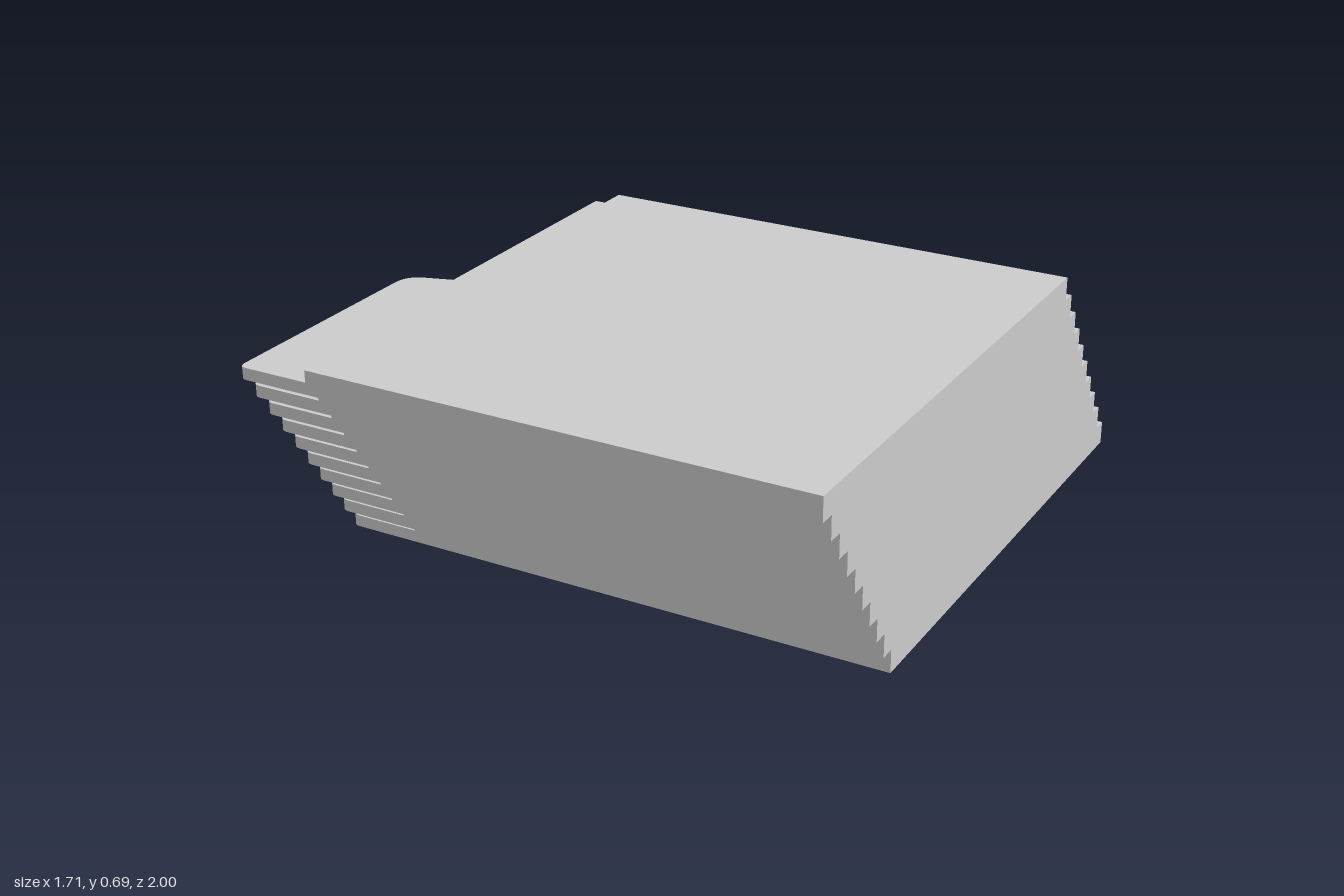
import * as THREE from 'three';

const COUNT = 10;          // stacked slabs
const SLAB_H = 0.0695;     // height of one slab
const LIP_H = 0.035;       // height of the thin lower plate
const DEPTH = 1.577;       // slab size along z
const RIGHT = 0.855, BODY_LEFT = -0.635, NOTCH_LEFT = -0.72, TAB_LEFT = -0.855;

// Plan of the lower plate: narrow at the back, widening into a tab at the front
function plateOutline() {
  const f = DEPTH / 2, b = -f, tab = f - 0.79, r = 0.025;
  const s = new THREE.Shape();
  s.moveTo(RIGHT, b);
  s.lineTo(RIGHT, f);
  s.lineTo(TAB_LEFT + r, f);
  s.quadraticCurveTo(TAB_LEFT, f, TAB_LEFT, f - r);
  s.lineTo(TAB_LEFT, tab + 0.1);
  s.bezierCurveTo(TAB_LEFT, tab + 0.055, -0.835, tab + 0.035, -0.8, tab + 0.025);
  s.lineTo(NOTCH_LEFT, tab);
  s.lineTo(NOTCH_LEFT, b);
  s.closePath();
  return s;
}

export function createModel() {
  const model = new THREE.Group();
  model.name = 'slabStack';
  const material = new THREE.MeshStandardMaterial({ color: 0xcccccc });

  // Lower plate with side tab
  const plateGeo = new THREE.ExtrudeGeometry(plateOutline(), { depth: LIP_H, bevelEnabled: false, curveSegments: 8 });
  plateGeo.rotateX(Math.PI / 2).translate(0, LIP_H, 0);

  // Upper block, set in from the tab side
  const blockGeo = new THREE.BoxGeometry(RIGHT - BODY_LEFT, SLAB_H - LIP_H, DEPTH);
  blockGeo.translate((RIGHT + BODY_LEFT) / 2, (SLAB_H + LIP_H) / 2, 0);

  // Each slab steps forward from the one below
  const reach = 1 - DEPTH / 2;
  for (let i = 0; i < COUNT; i++) {
    const slab = new THREE.Group();
    slab.name = `slab${i + 1}`;
    const plate = new THREE.Mesh(plateGeo, material);
    plate.name = 'tabPlate';
    const block = new THREE.Mesh(blockGeo, material);
    block.name = 'upperBlock';
    slab.add(plate, block);
    slab.position.set(0, i * SLAB_H, -reach + (2 * reach * i) / (COUNT - 1));
    model.add(slab);
  }
  return model;
}
